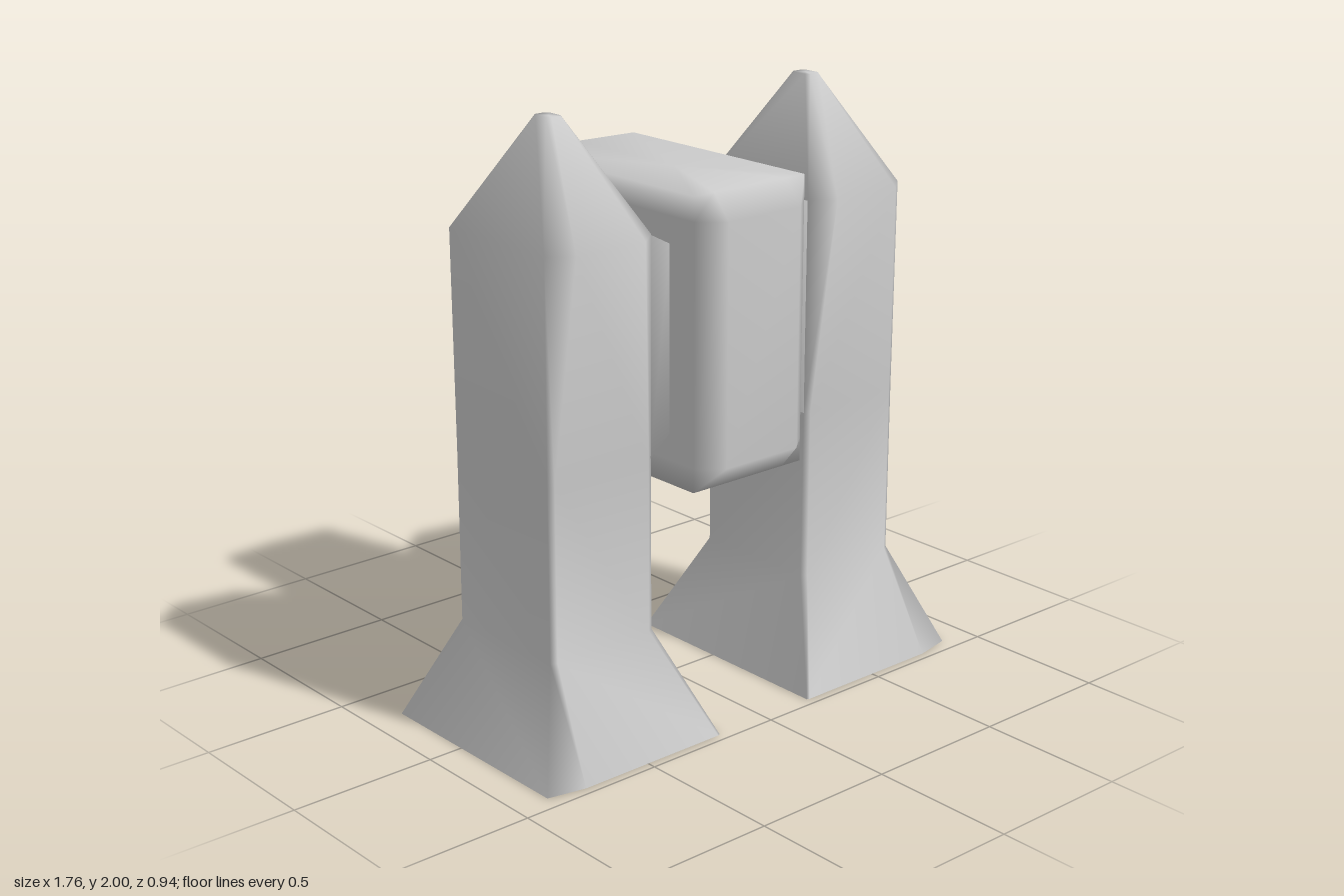
import * as THREE from 'three';

const V = (x, y, z) => new THREE.Vector3(x, y, z);

// Skin a list of equal-length rings and close both ends with fans.
// Rings run counter-clockwise seen from the last ring's end.
function loft(name, rings, flip = false) {
  const n = rings[0].length, points = rings.flat(), index = [];
  const tri = (a, b, c) => (flip ? index.push(a, c, b) : index.push(a, b, c));
  for (let i = 0; i < rings.length - 1; i++) {
    for (let j = 0; j < n; j++) {
      const k = (j + 1) % n, a = i * n, b = a + n;
      tri(a + j, a + k, b + k);
      tri(a + j, b + k, b + j);
    }
  }
  const centre = (r) => r.reduce((s, p) => s.add(p), V(0, 0, 0)).divideScalar(n);
  const last = (rings.length - 1) * n, c0 = points.length;
  points.push(centre(rings[0]), centre(rings[rings.length - 1]));
  for (let j = 0; j < n; j++) {
    const k = (j + 1) % n;
    tri(c0, k, j);
    tri(c0 + 1, last + j, last + k);
  }
  const g = new THREE.BufferGeometry().setFromPoints(points);
  g.setIndex(index);
  g.computeVertexNormals();
  const mesh = new THREE.Mesh(g, new THREE.MeshStandardMaterial({ color: 0xcccccc }));
  mesh.name = name;
  return mesh;
}

// Horizontal rectangle with cut corners: outer cut (ox, oz), inner cut (ix, iz)
function legRing(s, y, x0, x1, z0, z1, ox, oz, ix = ox, iz = oz) {
  return [
    [x1, z1 - oz], [x1, z0 + oz], [x1 - ox, z0], [x0 + ix, z0],
    [x0, z0 + iz], [x0, z1 - iz], [x0 + ix, z1], [x1 - ox, z1],
  ].map(([x, z]) => V(s * x, y, z));
}

// Leg: recessed sole, flared foot, tall shaft, widened shoulder and pointed top
function leg(s) {
  return loft(s > 0 ? 'leftLeg' : 'rightLeg', [
    legRing(s, 0.05, 0.24, 0.835, -0.29, 0.405, 0.10, 0.025, 0.01, 0.005),
    legRing(s, 0, 0.195, 0.88, -0.355, 0.47, 0.13, 0.027, 0.01, 0.004),
    legRing(s, 0.35, 0.33, 0.74, -0.18, 0.30, 0.02, 0.012),
    legRing(s, 0.93, 0.33, 0.74, -0.18, 0.30, 0.02, 0.012),
    legRing(s, 1.645, 0.33, 0.74, -0.235, 0.352, 0.072, 0.06),
    legRing(s, 2, 0.507, 0.563, 0.02, 0.10, 0.01, 0.015),
  ], s < 0);
}

// Tapered block joining a leg to the body
function connector(s) {
  const ring = (x, y0, y1, z0, z1) =>
    [[y0, z0], [y0, z1], [y1, z1], [y1, z0]].map(([y, z]) => V(s * x, y, z));
  return loft(s > 0 ? 'leftConnector' : 'rightConnector', [
    ring(0.335, 0.925, 1.645, -0.17, 0.29),
    ring(0.225, 0.98, 1.59, -0.14, 0.26),
  ], s < 0);
}

// Body outline from above: ridged back, and a front panel standing out to z = front
function bodyRing(y, front) {
  return [
    [0.23, 0.375], [0.23, -0.452], [0, -0.47], [-0.23, -0.452],
    [-0.23, 0.375], [-0.15, front], [0.15, front],
  ].map(([x, z]) => V(x, y, z));
}

export function createModel() {
  const model = new THREE.Group();
  model.name = 'model';

  // Body with a front bevelled on all four edges
  model.add(loft('body', [
    bodyRing(0.81, 0.375), bodyRing(0.89, 0.442),
    bodyRing(1.68, 0.442), bodyRing(1.76, 0.375),
  ]));

  for (const s of [1, -1]) model.add(leg(s), connector(s));
  return model;
}
